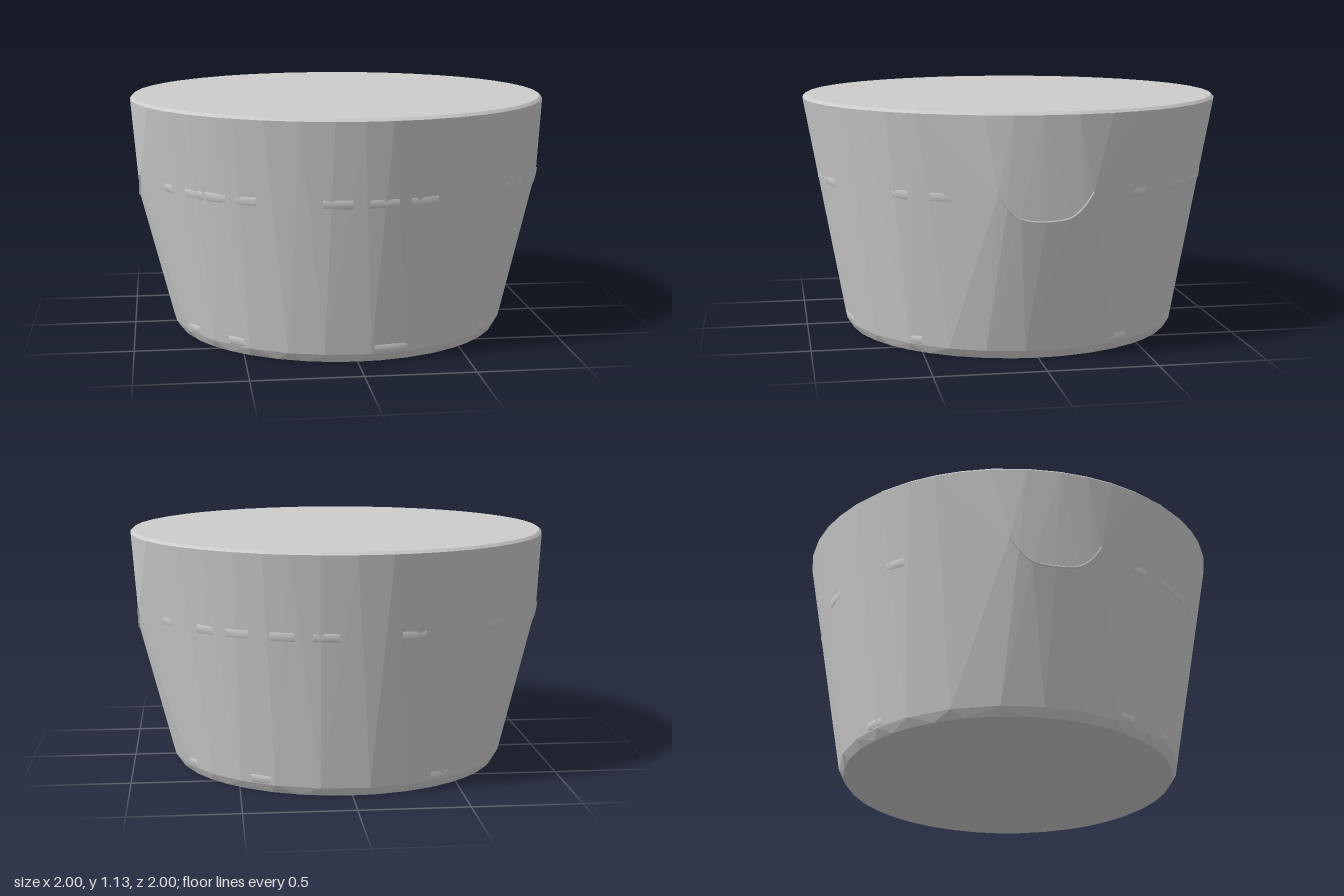
import * as THREE from 'three';
import { ConvexGeometry } from 'three/addons/geometries/ConvexGeometry.js';

export function createModel() {
  const group = new THREE.Group();
  const grey = new THREE.MeshStandardMaterial({ color: 0xcccccc });
  grey.name = 'light grey';
  const add = (geometry, name) => {
    const mesh = new THREE.Mesh(geometry, grey);
    mesh.name = name;
    group.add(mesh);
    return mesh;
  };

  // Faceted tub: taut hull over a base ring, a wider top ring and two side handles
  const points = [];
  const ring = (radius, y, count, offset) => {
    for (let i = 0; i < count; i++) {
      const a = ((i + offset + 0.12 * Math.sin(i * 5)) / count) * Math.PI * 2;
      points.push(new THREE.Vector3(Math.sin(a) * radius, y, Math.cos(a) * radius));
    }
  };
  ring(0.785, 0.005, 40, 0);
  ring(0.81, 0.045, 26, 0.3);
  ring(0.998, 1.12, 44, 0);
  ring(0.985, 1.133, 44, 0);

  // Lower edge of each handle, pushing the wall outwards
  const handleArc = (side) => [
    [0.957, 0.78, 0.21], [0.959, 0.72, 0.17], [0.959, 0.67, 0.11], [0.96, 0.655, 0],
    [0.959, 0.67, -0.11], [0.959, 0.72, -0.17], [0.957, 0.78, -0.21],
  ].map(([x, y, z]) => new THREE.Vector3(side * x, y, z));
  for (const side of [-1, 1]) points.push(...handleArc(side));
  add(new ConvexGeometry(points), 'tub');

  // Thin lips along the handle edges
  for (const side of [-1, 1]) {
    const curve = new THREE.CatmullRomCurve3(handleArc(side));
    add(new THREE.TubeGeometry(curve, 24, 0.005, 6), 'handleLip');
  }

  // Short raised dashes around the wall: [centre angle, width] in degrees
  const dashes = (list, y, radius, half, name) => {
    for (const [angle, width] of list) {
      const profile = [[-0.012, -half], [0, -half * 0.6], [0.003, half * 0.6], [-0.01, half]]
        .map(([r, h]) => new THREE.Vector2(radius + r, y + h));
      const start = THREE.MathUtils.degToRad(angle - width / 2);
      add(new THREE.LatheGeometry(profile, 5, start, THREE.MathUtils.degToRad(width)), name);
    }
  };
  dashes([
    [-63, 6], [-50, 7], [-42, 7], [-32, 6], [-6.5, 8], [6, 8], [17.5, 8], [49.5, 5], [62, 6],
    [118, 6], [136, 6], [147, 7], [160, 7], [172, 7], [-164, 7], [-136, 6],
  ], 0.755, 0.933, 0.028, 'wallDash');
  dashes([[10.5, 11], [49, 5], [-41, 6], [-62, 6], [118, 7], [150, 7], [-150, 7]],
    0.07, 0.813, 0.025, 'baseDash');

  return group;
}
